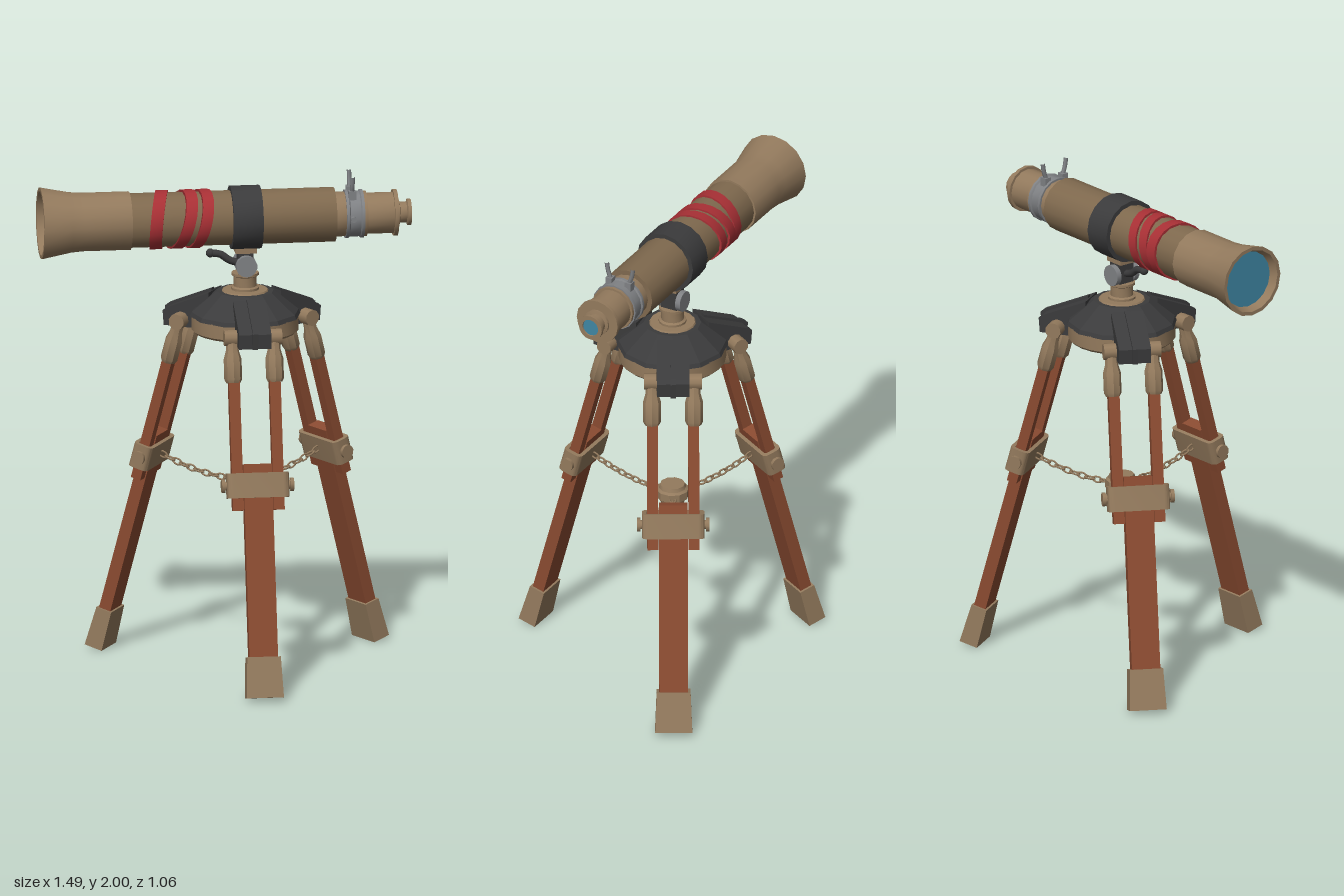
import * as THREE from 'three';
import { toCreasedNormals } from 'three/addons/utils/BufferGeometryUtils.js';

const mat = (name, color) => {
  const m = new THREE.MeshStandardMaterial({ color });
  m.name = name;
  return m;
};
const BRASS = mat('brass', 0x937a5d);
const TUBE = mat('dark brass', 0x7f694e);
const WOOD = mat('wood', 0x8a4b31);
const IRON = mat('black iron', 0x3b3b3c);
const STEEL = mat('steel', 0x808285);
const RED = mat('red cloth', 0xa83035);
const GLASS = mat('lens glass', 0x3f86a3);
RED.side = THREE.DoubleSide;

const CX = 0.075, CZ = -0.135, AXIS_Y = 1.832;

function add(parent, name, geo, material, x = 0, y = 0, z = 0) {
  const m = new THREE.Mesh(geo, material);
  m.name = name;
  m.position.set(x, y, z);
  parent.add(m);
  return m;
}

// Revolved profile of [radius, height] points
const lathe = (pts, sides, crease = 0.6) =>
  toCreasedNormals(new THREE.LatheGeometry(pts.map(p => new THREE.Vector2(...p)), sides), crease);
// The same, laid along x
const latheX = (pts, sides = 16) => lathe(pts, sides).rotateZ(-Math.PI / 2);
const rodX = (r, len, sides = 10) =>
  new THREE.CylinderGeometry(r, r, len, sides).rotateZ(Math.PI / 2);

// Extruded side profile of [radial, y] points, centred across its width
function slab(pts, width) {
  const g = new THREE.ExtrudeGeometry(new THREE.Shape(pts.map(p => new THREE.Vector2(...p))),
    { depth: width, bevelEnabled: false });
  return g.translate(0, 0, -width / 2).rotateY(-Math.PI / 2);
}

function roundRect(Type, w, d, r) {
  const s = new Type(), x = w / 2, y = d / 2;
  s.moveTo(-x + r, -y).lineTo(x - r, -y).quadraticCurveTo(x, -y, x, -y + r);
  s.lineTo(x, y - r).quadraticCurveTo(x, y, x - r, y);
  s.lineTo(-x + r, y).quadraticCurveTo(-x, y, -x, y - r);
  s.lineTo(-x, -y + r).quadraticCurveTo(-x, -y, -x + r, -y);
  return s;
}

function makeLeg() {
  const leg = new THREE.Group();
  leg.name = 'leg';
  leg.position.set(0, 1.4, 0.25);
  leg.rotation.x = -0.265;

  add(leg, 'lowerLeg', new THREE.BoxGeometry(0.115, 0.8, 0.05), WOOD, 0, -0.905, 0);

  // Foot flares towards the ground
  const foot = new THREE.BoxGeometry(0.135, 0.164, 0.066);
  const p = foot.attributes.position;
  for (let i = 0; i < p.count; i++) {
    if (p.getY(i) < 0) p.setXYZ(i, p.getX(i) * 1.1, p.getY(i), p.getZ(i) * 1.15);
  }
  foot.computeVertexNormals();
  add(leg, 'foot', foot, BRASS, 0, -1.357, 0);

  // Sliding bracket: a rounded frame around leg and rods
  const frame = roundRect(THREE.Shape, 0.25, 0.082, 0.025);
  frame.holes.push(roundRect(THREE.Path, 0.214, 0.052, 0.012));
  const bracket = new THREE.ExtrudeGeometry(frame, { depth: 0.1, bevelEnabled: false, curveSegments: 4 });
  add(leg, 'bracket', toCreasedNormals(bracket.rotateX(Math.PI / 2), 0.6), BRASS, 0, -0.54, 0);

  for (const s of [-1, 1]) {
    add(leg, 'upperRod', new THREE.BoxGeometry(0.044, 0.55, 0.042), WOOD, s * 0.082, -0.415, 0);
    add(leg, 'rodCap', lathe([[0, -0.18], [0.028, -0.18], [0.036, -0.165], [0.036, -0.085],
      [0.026, -0.05], [0.024, 0.015], [0, 0.015]], 8), BRASS, s * 0.084, 0, 0);
    add(leg, 'hingePin', rodX(0.033, 0.055), BRASS, s * 0.088, 0, 0);
    add(leg, 'bracketBolt', rodX(0.018, 0.02), BRASS, s * 0.128, -0.59, 0);
    add(leg, 'bracketKnob', rodX(0.028, 0.014), BRASS, s * 0.138, -0.59, 0);
  }
  return leg;
}

function makeChain() {
  const chain = new THREE.Group();
  chain.name = 'chain';
  const curve = new THREE.QuadraticBezierCurve3(new THREE.Vector3(0, 0.825, 0.37),
    new THREE.Vector3(0, 0.75, 0.2), new THREE.Vector3(0, 0.75, 0.055));
  const link = new THREE.TorusGeometry(0.012, 0.0038, 6, 10).rotateY(Math.PI / 2).scale(1, 1, 1.6);
  const n = 10;
  for (let i = 0; i < n; i++) {
    const t = (i + 0.5) / n, q = curve.getPointAt(t);
    const m = new THREE.Mesh(link, BRASS);
    m.name = 'chainLink';
    m.position.copy(q);
    m.lookAt(q.clone().add(curve.getTangentAt(t)));
    m.rotateZ(i % 2 ? Math.PI / 2 : 0);
    chain.add(m);
  }
  return chain;
}

function makeTripod() {
  const tripod = new THREE.Group();
  tripod.name = 'tripod';
  tripod.position.set(CX, 0, CZ);

  // Hub: hollow brass ring, iron dome and brass cap
  add(tripod, 'hubRing', lathe([[0, 1.425], [0.14, 1.425], [0.165, 1.365], [0.205, 1.365],
    [0.215, 1.375], [0.215, 1.432]], 24), BRASS);
  add(tripod, 'hubDome', lathe([[0.2, 1.43], [0.222, 1.43], [0.215, 1.447], [0.115, 1.53], [0, 1.53]], 12, 0.1), IRON);
  add(tripod, 'hubCap', new THREE.CylinderGeometry(0.09, 0.095, 0.008, 16), BRASS, 0, 1.532, 0);

  for (let i = 0; i < 3; i++) {
    const side = new THREE.Group();
    side.name = 'tripodSide';
    side.rotation.y = i * Math.PI * 2 / 3;
    add(side, 'hubArm', slab([[0.195, 1.37], [0.325, 1.37], [0.33, 1.43], [0.315, 1.442],
      [0.13, 1.522], [0.13, 1.44], [0.195, 1.44]], 0.13), IRON);
    add(side, 'armRidge', slab([[0.3, 1.37], [0.335, 1.37], [0.343, 1.435], [0.325, 1.45],
      [0.14, 1.528], [0.14, 1.46], [0.3, 1.42]], 0.022), IRON);
    side.add(makeLeg(), makeChain());
    tripod.add(side);
  }

  add(tripod, 'chainHub', lathe([[0, 0.712], [0.05, 0.712], [0.055, 0.728], [0.066, 0.735],
    [0.066, 0.768], [0.055, 0.775], [0.05, 0.79], [0, 0.79]], 10), BRASS);

  // Swivel head
  add(tripod, 'swivelPost', lathe([[0.056, 1.53], [0.056, 1.545], [0.046, 1.55], [0.046, 1.59],
    [0.055, 1.595], [0.055, 1.605], [0, 1.605]], 14), BRASS);
  for (const s of [-1, 1])
    add(tripod, 'swivelCheek', new THREE.CylinderGeometry(0.043, 0.043, 0.022, 14).rotateX(Math.PI / 2),
      STEEL, 0, 1.64, s * 0.046);
  add(tripod, 'swivelNeck', new THREE.BoxGeometry(0.06, 0.12, 0.07), IRON, 0, 1.655, 0);
  add(tripod, 'saddle', new THREE.BoxGeometry(0.085, 0.03, 0.08), BRASS, 0, 1.705, 0);
  const path = new THREE.CatmullRomCurve3([[0, 1.64], [-0.06, 1.655], [-0.1, 1.682], [-0.14, 1.688]]
    .map(([x, y]) => new THREE.Vector3(x, y, 0)));
  add(tripod, 'tiltHandle', new THREE.TubeGeometry(path, 10, 0.015, 8), IRON);
  add(tripod, 'handleTip', new THREE.SphereGeometry(0.018, 10, 8), IRON, -0.14, 1.688, 0);
  return tripod;
}

function makeTelescope() {
  const scope = new THREE.Group();
  scope.name = 'telescope';
  scope.position.set(0, AXIS_Y, CZ);

  add(scope, 'flaredHood', latheX([[0.105, -0.69], [0.13, -0.748], [0.145, -0.748], [0.122, -0.63],
    [0.118, -0.58], [0.118, -0.39], [0.1, -0.39]]), BRASS);
  add(scope, 'frontLens', rodX(0.118, 0.008, 16), GLASS, -0.712, 0, 0);
  add(scope, 'mainTube', latheX([[0.11, -0.4], [0.11, 0.433], [0.08, 0.433]]), TUBE);
  add(scope, 'strap', latheX([[0.1, 0.015], [0.128, 0.015], [0.128, 0.135], [0.1, 0.135]]), IRON);

  // Slanted cloth wraps: [centre, lean with y, lean with z, width]
  for (const [x0, a, b, w] of [[-0.272, 0.01, -0.022, 0.05], [-0.183, 0.03, 0.02, 0.046], [-0.115, 0.026, 0.02, 0.044]]) {
    const g = latheX([[0.108, -w / 2], [0.118, -w / 2], [0.118, w / 2], [0.108, w / 2]], 20);
    const p = g.attributes.position;
    for (let i = 0; i < p.count; i++)
      p.setX(i, p.getX(i) + (a * p.getY(i) + b * p.getZ(i)) / 0.115);
    add(scope, 'clothWrap', g, RED, x0, 0, 0);
  }

  // Draw tube and eyepiece
  add(scope, 'drawTube', latheX([[0.09, 0.42], [0.09, 0.475], [0.083, 0.475], [0.083, 0.545], [0.092, 0.545],
    [0.092, 0.56], [0.083, 0.56], [0.083, 0.668], [0.094, 0.668], [0.094, 0.684], [0.04, 0.684]]), BRASS);
  add(scope, 'eyepiece', latheX([[0.055, 0.68], [0.055, 0.692], [0.042, 0.695], [0.042, 0.722],
    [0.053, 0.726], [0.053, 0.74], [0.036, 0.74], [0.034, 0.725]]), BRASS);
  add(scope, 'eyeLens', rodX(0.036, 0.006, 16), GLASS, 0.732, 0, 0);

  // Steel clamp with two sight prongs
  add(scope, 'clamp', latheX([[0.08, 0.474], [0.098, 0.474], [0.098, 0.486], [0.092, 0.49], [0.092, 0.532],
    [0.098, 0.536], [0.098, 0.547], [0.08, 0.547]]), STEEL);
  add(scope, 'clampScrew', new THREE.CylinderGeometry(0.012, 0.012, 0.02, 8).rotateX(Math.PI / 2), STEEL, 0.5, 0, 0.097);
  for (const s of [-1, 1]) {
    const path = new THREE.CatmullRomCurve3([[0.07, 0.04], [0.1, 0.044], [0.13, 0.054], [0.166, 0.06]]
      .map(([y, z]) => new THREE.Vector3(0.5, y, s * z)));
    add(scope, 'sightProng', new THREE.TubeGeometry(path, 8, 0.009, 6), STEEL);
    add(scope, 'prongFoot', new THREE.BoxGeometry(0.03, 0.04, 0.028), STEEL, 0.5, 0.085, s * 0.044);
  }
  return scope;
}

export function createModel() {
  const model = new THREE.Group();
  model.name = 'telescopeOnTripod';
  model.add(makeTripod(), makeTelescope());
  return model;
}
